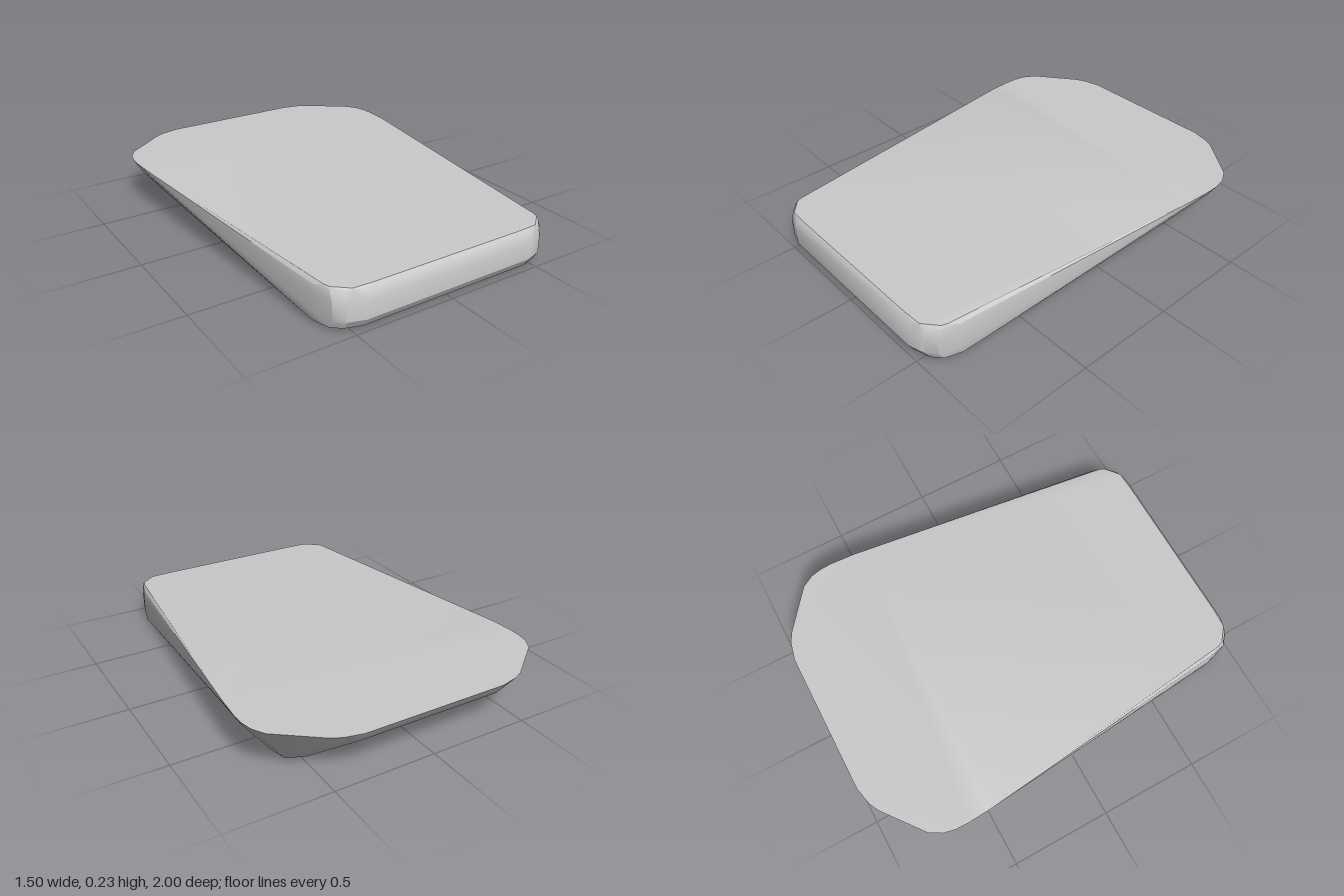
import * as THREE from 'three';
import { toCreasedNormals } from 'three/addons/utils/BufferGeometryUtils.js';
import { ConvexGeometry } from 'three/addons/geometries/ConvexGeometry.js';

// Height of the top surface: level at the back, falling gently to the front
const topY = (z) => (z < -0.45 ? 0.23 : 0.23 - (0.03 * (z + 0.45)) / 1.42);

export function createModel() {
  const grey = new THREE.MeshStandardMaterial({ color: 0xca_ca_ca });
  grey.name = 'light grey';

  // Half of the top outline, back to front
  const rim = [
    [0.36, -1], [0.45, -0.98], [0.5, -0.955], [0.7, -0.8], [0.735, -0.74],
    [0.748, -0.68], [0.75, -0.62], [0.743, -0.5], [0.735, -0.45],
    [0.58, 0.88], [0.57, 0.91], [0.5, 0.968], [0.4, 0.973],
  ].map(([x, z]) => [x, topY(z), z]);

  // Rounded front wall, as half sections at several heights
  const nose = [[0.014, 0.975], [0.055, 1], [0.14, 1], [0.185, 0.985]].flatMap(([y, z]) => [
    [0.45, y, z], [0.53, y, z - 0.025], [0.575, y, z - 0.065], [0.6, y, z - 0.15],
  ]);

  // Underside, with softened edges and the sloping back
  const base = [
    [0.48, 0, 0.92], [0.54, 0, 0.84], [0.54, 0, -0.6], [0.48, 0, -0.66],
    [0.59, 0.012, -0.64], [0.575, 0.016, -0.72], [0.5, 0.027, -0.77],
    [0.725, 0.185, -0.64], [0.7, 0.185, -0.74], [0.36, 0.17, -0.96],
  ];

  // Mirror the half sections and wrap them in one solid
  const points = [...rim, ...nose, ...base].flatMap(([x, y, z]) => [
    new THREE.Vector3(x, y, z), new THREE.Vector3(-x, y, z),
  ]);
  const slab = new THREE.Mesh(toCreasedNormals(new ConvexGeometry(points), 0.5), grey);
  slab.name = 'taperedSlab';

  const group = new THREE.Group();
  group.name = 'taperedBlock';
  group.add(slab);
  return group;
}
